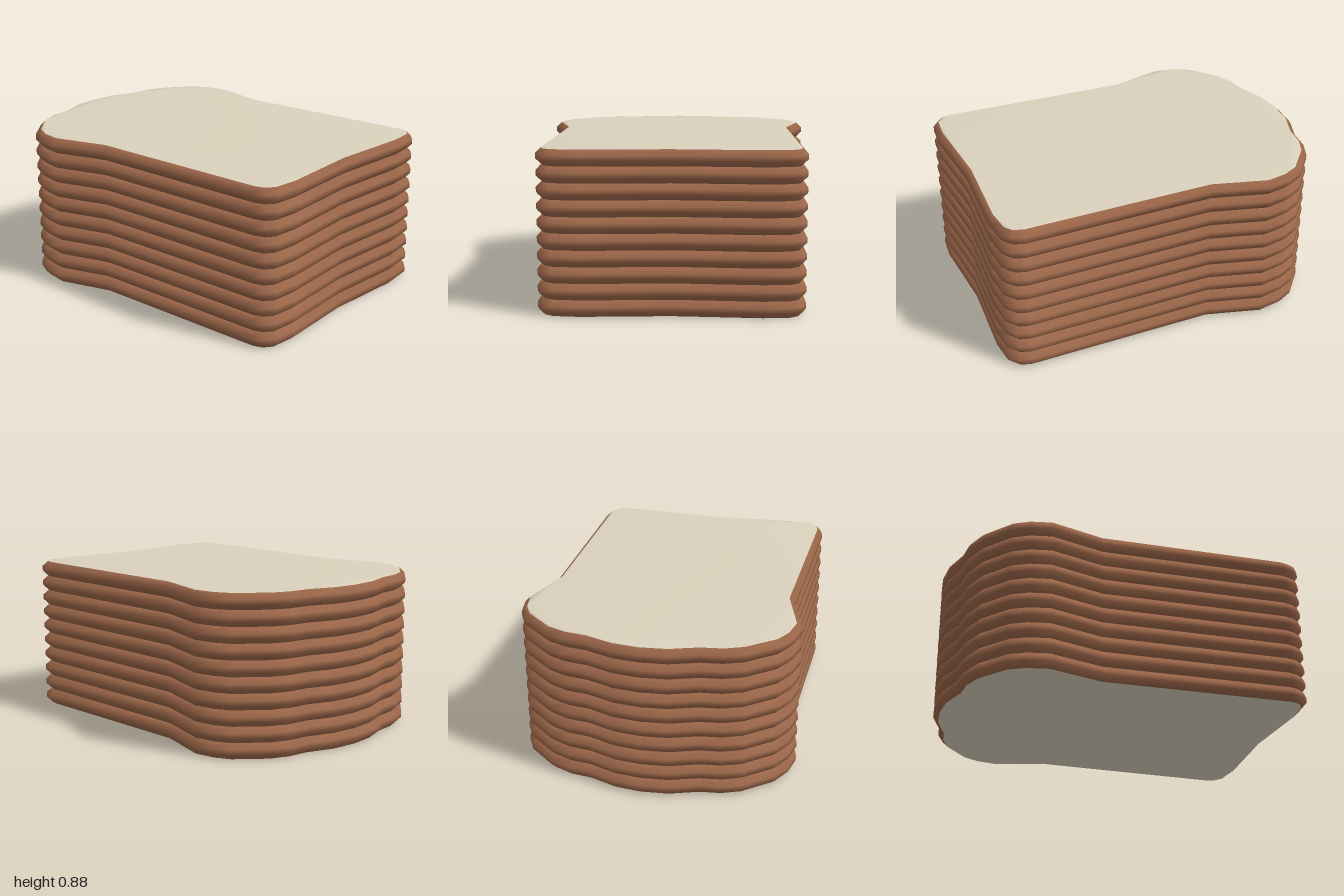
import * as THREE from 'three';

const SLICES = 10;
const THICK = 0.088;
const BEVEL = 0.03;

// Right half of the slice outline as (x, z), from the domed back to the front
const HALF = [
  [0, -1], [0.155, -0.985], [0.31, -0.93], [0.43, -0.915], [0.54, -0.87],
  [0.70, -0.735], [0.75, -0.64], [0.775, -0.51], [0.69, -0.20], [0.71, 0.87],
  [0.69, 0.94], [0.63, 0.985], [0.48, 1], [0, 0.97],
];

function outline() {
  const right = HALF.map(([x, z]) => new THREE.Vector2(x, z));
  const left = HALF.slice(1, -1).reverse().map(([x, z]) => new THREE.Vector2(-x, z));
  return [...right, ...left];
}

// Move every corner inwards by an even distance
function inset(points, amount) {
  const n = points.length;
  const inward = (a, b) => new THREE.Vector2(a.y - b.y, b.x - a.x).normalize();
  return points.map((p, i) => {
    const n1 = inward(points[(i + n - 1) % n], p);
    const n2 = inward(p, points[(i + 1) % n]);
    const move = n1.clone().add(n2).multiplyScalar(amount / (1 + n1.dot(n2)));
    return move.add(p);
  });
}

// One slice: four stacked rings for the crust, closed by two flat faces
function sliceGeometry() {
  const outer = outline();
  const inner = inset(outer, BEVEL);
  const n = outer.length;
  const rings = [[inner, 0], [outer, BEVEL], [outer, THICK - BEVEL], [inner, THICK]];
  const position = [];
  const index = [];
  for (const [ring, y] of rings) for (const p of ring) position.push(p.x, y, p.y);

  for (let r = 0; r < rings.length - 1; r++) {
    for (let i = 0; i < n; i++) {
      const a = r * n + i;
      const b = r * n + (i + 1) % n;
      index.push(a, a + n, b, b, a + n, b + n);
    }
  }
  const crustCount = index.length;

  const top = (rings.length - 1) * n;
  for (const [a, b, c] of THREE.ShapeUtils.triangulateShape(inner.slice(), [])) {
    const ab = inner[b].clone().sub(inner[a]);
    const ac = inner[c].clone().sub(inner[a]);
    const [u, v] = ab.y * ac.x - ab.x * ac.y > 0 ? [b, c] : [c, b];
    index.push(top + a, top + u, top + v, a, v, u);
  }

  const geometry = new THREE.BufferGeometry();
  geometry.setAttribute('position', new THREE.Float32BufferAttribute(position, 3));
  geometry.setIndex(index);
  geometry.addGroup(0, crustCount, 0);
  geometry.addGroup(crustCount, index.length - crustCount, 1);
  geometry.computeVertexNormals();
  return geometry;
}

export function createModel() {
  const crust = new THREE.MeshStandardMaterial({ color: 0x9b6649 });
  crust.name = 'crust brown';
  const crumb = new THREE.MeshStandardMaterial({ color: 0xdad1bc });
  crumb.name = 'crumb cream';

  // Stack of identical bread slices
  const loaf = new THREE.Group();
  loaf.name = 'breadStack';
  const geometry = sliceGeometry();
  for (let i = 0; i < SLICES; i++) {
    const slice = new THREE.Mesh(geometry, [crust, crumb]);
    slice.name = `slice${i + 1}`;
    slice.position.y = i * THICK;
    loaf.add(slice);
  }
  return loaf;
}
